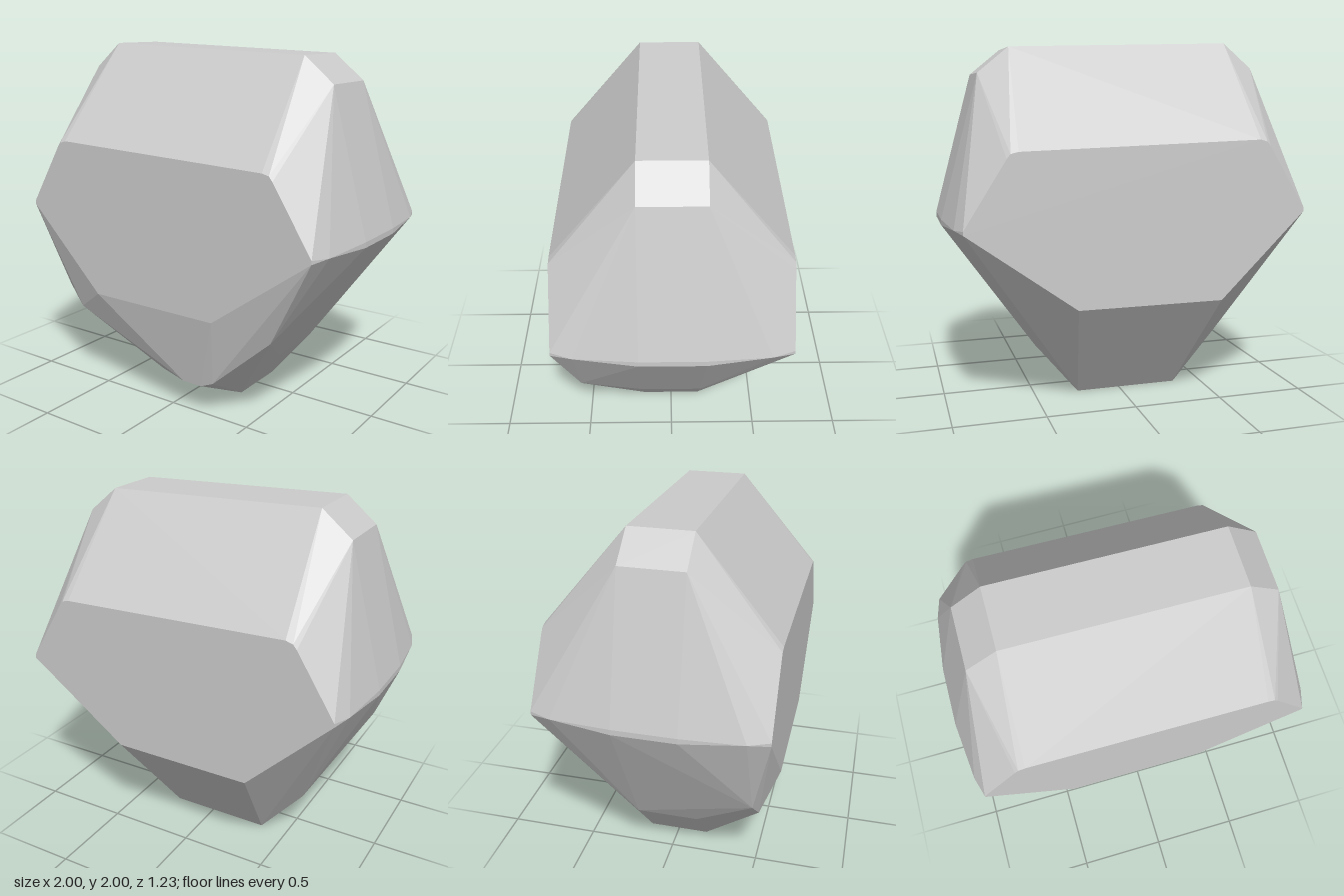
import * as THREE from 'three';
import { ConvexGeometry } from 'three/addons/geometries/ConvexGeometry.js';

export function createModel() {
  const points = [];
  const add = (z, outline) => outline.forEach(([x, y]) => points.push(new THREE.Vector3(x, y, z)));

  // Central band: the full outline, cut flat at the crown and the base
  const band = [
    [-0.63, 2], [0.62, 1.96], [0.79, 1.82], [1, 1.04], [1, 1.01], [0.5, 0.3],
    [0.25, 0], [-0.34, 0], [-0.6, 0.3], [-1, 1.06], [-1, 1.09], [-0.8, 1.86],
  ];
  // Large flat facets on the front and back
  const facet = [
    [-0.66, 1.467], [-0.70, 1.455], [-0.72, 1.43], [0.65, 1.425], [0.69, 1.415], [0.71, 1.39],
    [0.93, 1.04], [0.93, 1.02], [0.35, 0.6], [-0.45, 0.6], [-0.93, 1.07], [-0.93, 1.09],
  ];
  // Softened waist corners between band and facets
  const waist = [[0.965, 1.03], [-0.965, 1.08]];
  for (const side of [1, -1]) {
    add(side * 0.17, band);
    add(side * 0.5, waist);
    add(side * 0.613, facet);
  }

  // Chin bulging out under the front facet
  add(0.53, [[0.1, 0.175], [0.22, 0.175], [0.3, 0.21], [-0.66, 0.46]]);
  add(0.51, [[0.65, 0.52], [-0.77, 0.57]]);

  const material = new THREE.MeshStandardMaterial({ color: 0xcccccc, flatShading: true });
  const rock = new THREE.Mesh(new ConvexGeometry(points), material);
  rock.name = 'rock';

  const group = new THREE.Group();
  group.name = 'facetedRock';
  group.add(rock);
  return group;
}
